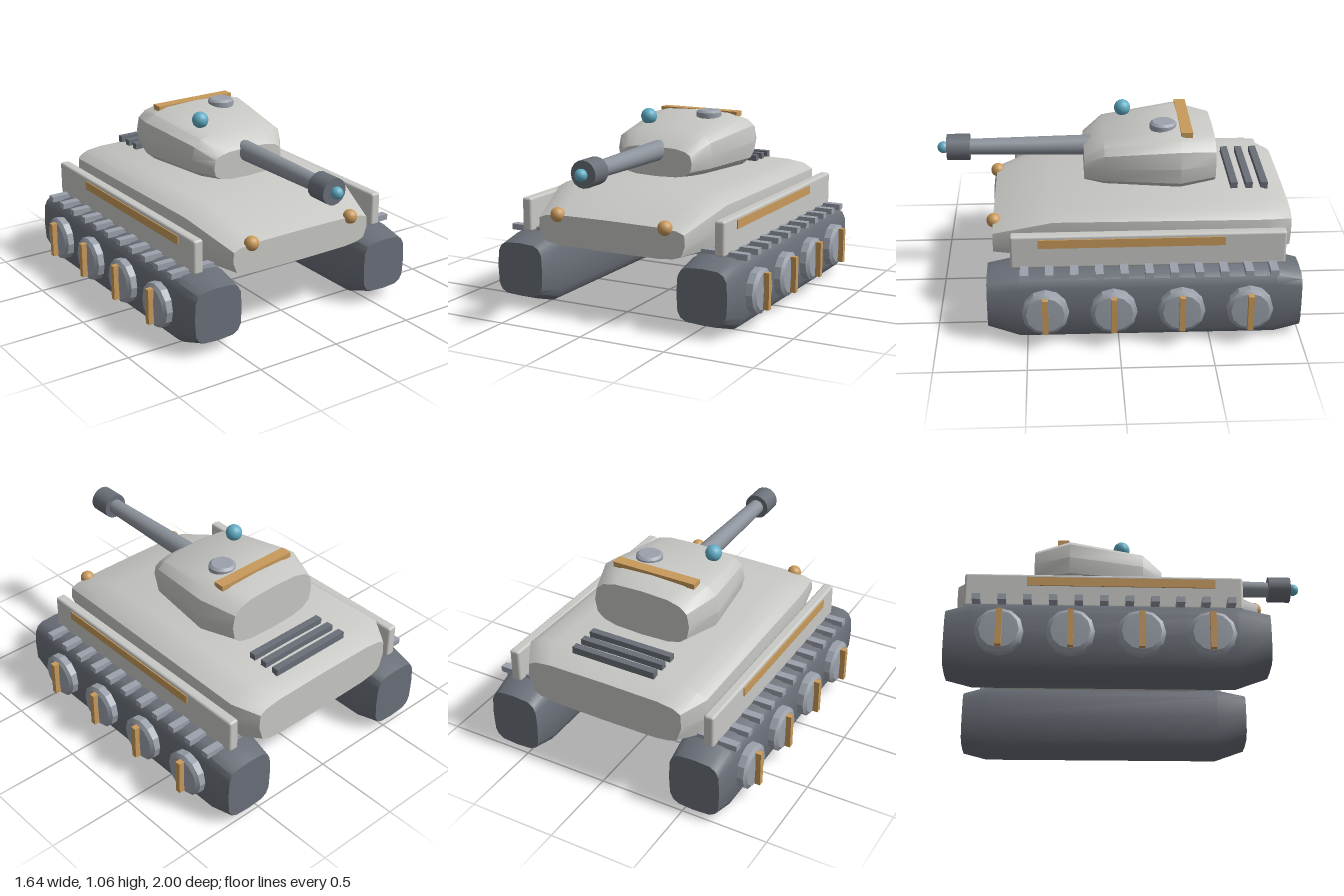
import * as THREE from 'three';
import { toCreasedNormals } from 'three/addons/utils/BufferGeometryUtils.js';
import { RoundedBoxGeometry } from 'three/addons/geometries/RoundedBoxGeometry.js';

const paint = (name, color) => {
  const m = new THREE.MeshStandardMaterial({ color });
  m.name = name;
  return m;
};

// Closed loft along z. Each section: [z, half width, bottom y, top y], listed front to back.
function loft(sections, power, taper = 0, n = 16) {
  const pos = [], index = [];
  const bend = v => Math.sign(v) * Math.abs(v) ** (2 / power);
  for (const [z, w, y0, y1] of sections) {
    for (let i = 0; i < n; i++) {
      const a = (i / n) * Math.PI * 2;
      const u = bend(Math.cos(a)), v = bend(Math.sin(a));
      pos.push(u * w * (1 + taper * (v - 1)), (y0 + y1) / 2 + (v * (y1 - y0)) / 2, z);
    }
  }
  const last = (sections.length - 1) * n, hub = pos.length / 3;
  for (const s of [sections[0], sections.at(-1)]) pos.push(0, (s[2] + s[3]) / 2, s[0]);
  for (let i = 0; i < n; i++) {
    const j = (i + 1) % n;
    for (let k = 0; k < last; k += n) {
      index.push(k + i, k + n + i, k + n + j, k + i, k + n + j, k + j);
    }
    index.push(hub, i, j, hub + 1, last + j, last + i);
  }
  const g = new THREE.BufferGeometry();
  g.setAttribute('position', new THREE.Float32BufferAttribute(pos, 3));
  g.setIndex(index);
  return toCreasedNormals(g, 0.6);
}

export function createModel() {
  const armour = paint('light armour', 0xc8c8c5);
  const dark = paint('dark track', 0x6a6f78);
  const steel = paint('blue steel', 0x9ba1ab);
  const barrelGrey = paint('barrel grey', 0x8c929b);
  const amber = paint('amber trim', 0xc99a5b);
  const blue = paint('blue glass', 0x62adc5);

  const model = new THREE.Group();
  model.name = 'tank';
  const add = (name, geometry, material, x = 0, y = 0, z = 0, parent = model) => {
    const mesh = new THREE.Mesh(geometry, material);
    mesh.name = name;
    mesh.position.set(x, y, z);
    parent.add(mesh);
    return mesh;
  };
  const box = (w, h, d) => new THREE.BoxGeometry(w, h, d);
  const ball = r => new THREE.SphereGeometry(r, 16, 12);

  // Hull with sloped nose
  add('hull', loft([
    [0.685, 0.47, 0.385, 0.56],
    [0.35, 0.56, 0.36, 0.69],
    [-0.83, 0.575, 0.36, 0.69],
    [-0.965, 0.49, 0.395, 0.64],
  ], 5, 0.03), armour);

  // Engine vents
  for (const z of [-0.84, -0.755, -0.67]) {
    add('engineVent', box(0.505, 0.04, 0.04), dark, 0, 0.702, z);
  }

  // Turret
  const turret = new THREE.Group();
  turret.name = 'turret';
  model.add(turret);
  add('turretShell', loft([
    [0.17, 0.23, 0.715, 0.885],
    [0.06, 0.305, 0.705, 0.97],
    [-0.36, 0.367, 0.69, 1.03],
    [-0.56, 0.295, 0.71, 0.985],
  ], 3.2), armour, 0, 0, 0, turret);
  add('turretBar', box(0.505, 0.03, 0.065), amber, 0, 1.015, -0.398, turret);
  add('sensor', ball(0.047), blue, -0.17, 1.017, -0.06, turret);
  const hatchProfile = [[0, 0.03], [0.06, 0.03], [0.075, 0.018], [0.075, -0.03], [0, -0.03]]
    .reverse().map(p => new THREE.Vector2(...p));
  add('hatch', toCreasedNormals(new THREE.LatheGeometry(hatchProfile, 14), 0.6), steel, 0.115, 1.016, -0.275, turret);

  // Gun
  const tube = (front, back, length) =>
    new THREE.CylinderGeometry(front, back, length, 16).rotateX(Math.PI / 2);
  add('gunBarrel', tube(0.045, 0.058, 0.72), barrelGrey, 0, 0.86, 0.47, turret);
  add('muzzle', tube(0.075, 0.075, 0.13), dark, 0, 0.86, 0.88, turret);
  add('muzzleTip', ball(0.034), blue, 0, 0.86, 0.966, turret);

  // Shared running gear shapes
  const trackShape = loft([
    [0.715, 0.148, 0.07, 0.375],
    [0.54, 0.166, 0.006, 0.41],
    [-0.86, 0.166, 0, 0.41],
    [-1, 0.15, 0.035, 0.37],
  ], 4);
  const wheelProfile = [[0, -0.03], [0.127, -0.03], [0.127, 0.015], [0.105, 0.03], [0, 0.034]]
    .map(p => new THREE.Vector2(...p));
  const wheelShape = toCreasedNormals(new THREE.LatheGeometry(wheelProfile, 12), 0.5);

  for (const side of [-1, 1]) {
    const gear = new THREE.Group();
    gear.name = side > 0 ? 'leftRunningGear' : 'rightRunningGear';
    model.add(gear);

    add('track', trackShape, dark, side * 0.57, 0, 0, gear);
    for (let i = 0; i < 11; i++) {
      add('trackTread', box(0.35, 0.034, 0.045), steel, side * 0.57, 0.413, 0.51 - i * 0.135, gear);
    }

    // Wheels with amber spokes
    for (let i = 0; i < 4; i++) {
      const z = 0.4 - i * 0.37;
      const wheel = add('wheel', wheelShape, steel, side * 0.757, 0.205, z, gear);
      wheel.rotation.z = -side * Math.PI / 2;
      add('wheelSpoke', box(0.05, 0.205, 0.032), amber, side * 0.795, 0.207, z, gear);
    }

    // Side skirt with stripe
    add('sideSkirt', new RoundedBoxGeometry(0.06, 0.195, 1.5, 2, 0.014), armour, side * 0.606, 0.508, -0.165, gear);
    add('skirtStripe', box(0.009, 0.05, 1.015), amber, side * 0.638, 0.56, -0.073, gear);

    add('headlight', ball(0.041), amber, side * 0.335, 0.558, 0.68, gear);
  }
  return model;
}
